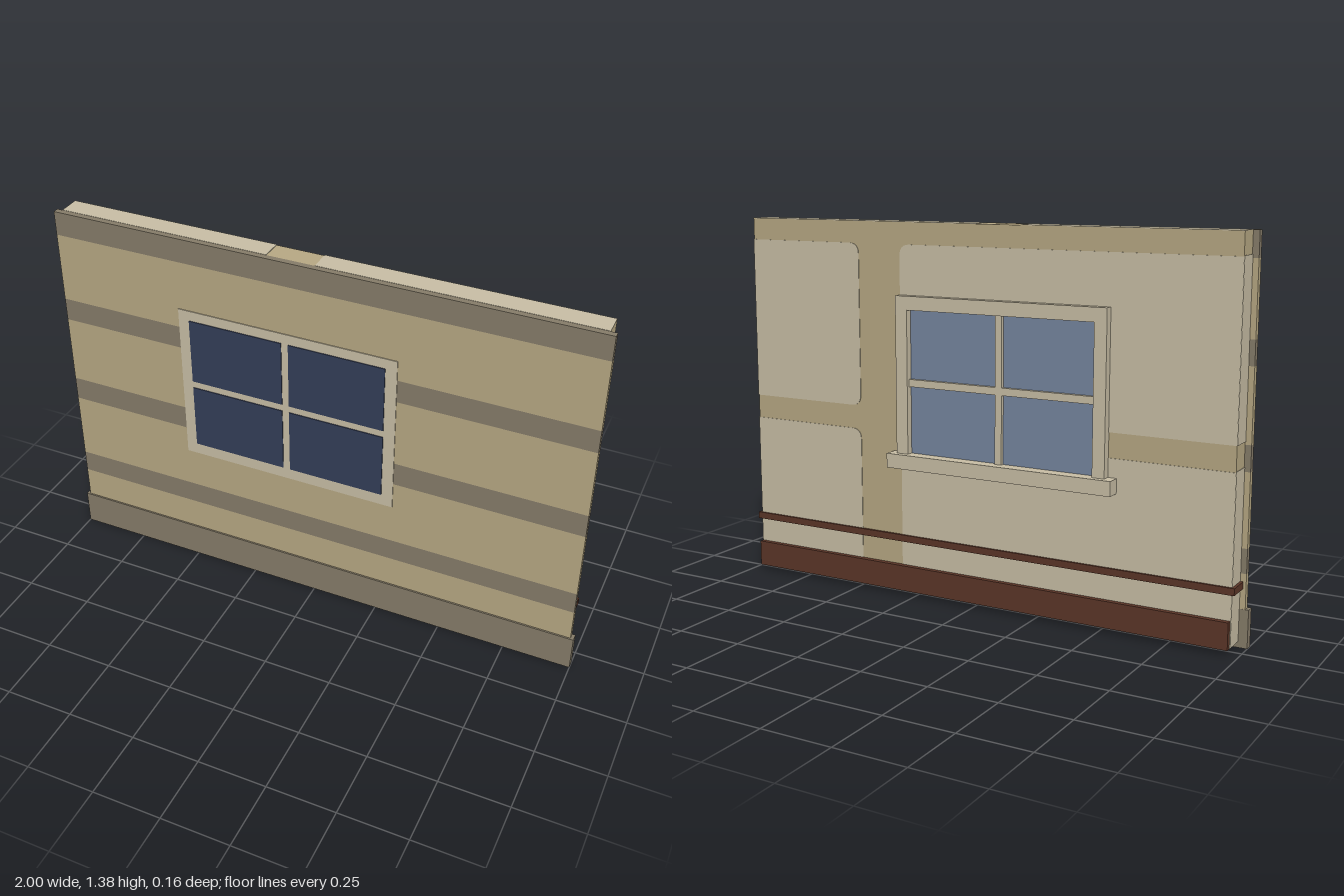
import * as THREE from 'three';

const mat = (name, color) => {
  const m = new THREE.MeshStandardMaterial({ color });
  m.name = name;
  return m;
};

export function createModel() {
  const tan = mat('tan', 0xb8a984);
  const taupe = mat('taupe', 0x877d6a);
  const cream = mat('cream', 0xc9bfa6);
  const navy = mat('navy glass', 0x343f59);
  const blue = mat('blue glass', 0x7686a0);
  const brown = mat('brown wood', 0x5c3628);

  const root = new THREE.Group();
  root.name = 'wallSection';

  // Box given by its limits on each axis
  const box = (name, material, [x0, x1], [y0, y1], [z0, z1], parent = root) => {
    const mesh = new THREE.Mesh(new THREE.BoxGeometry(x1 - x0, y1 - y0, z1 - z0), material);
    mesh.position.set((x0 + x1) / 2, (y0 + y1) / 2, (z0 + z1) / 2);
    mesh.name = name;
    parent.add(mesh);
  };

  // Outer cladding: alternating horizontal courses
  const cladding = new THREE.Group();
  cladding.name = 'cladding';
  root.add(cladding);
  const courses = [0.01, 0.257, 0.343, 0.6, 0.69, 0.947, 1.033, 1.291, 1.38];
  for (let i = 0; i < courses.length - 1; i++) {
    box('claddingCourse', i % 2 ? taupe : tan, [-0.988, 0.988], [courses[i], courses[i + 1]], [0.052, 0.074], cladding);
  }
  box('basePlinth', taupe, [-1, 1], [0, 0.135], [0.051, 0.08]);

  // Inner wall: tan core with cream panels laid on the back, ends and top
  const wall = new THREE.Group();
  wall.name = 'innerWall';
  root.add(wall);
  box('wallCore', tan, [-0.966, 0.966], [0.021, 1.379], [-0.026, 0.052], wall);

  // Back panel whose corners next to the upright band (at xIn) are rounded
  const backPanel = (xOut, xIn, y0, y1, roundTop, roundBottom) => {
    const d = Math.sign(xOut - xIn), rt = roundTop ? 0.04 : 0, rb = roundBottom ? 0.04 : 0;
    const s = new THREE.Shape();
    s.moveTo(xOut, y0);
    s.lineTo(xOut, y1);
    s.lineTo(xIn + d * rt, y1);
    if (rt) s.quadraticCurveTo(xIn, y1, xIn, y1 - rt);
    s.lineTo(xIn, y0 + rb);
    if (rb) s.quadraticCurveTo(xIn, y0, xIn + d * rb, y0);
    s.closePath();
    const mesh = new THREE.Mesh(new THREE.ExtrudeGeometry(s, { depth: 0.002, bevelEnabled: false, curveSegments: 6 }), cream);
    mesh.position.z = -0.028;
    mesh.name = 'backPanel';
    wall.add(mesh);
  };
  for (const [xOut, xIn] of [[0.967, 0.485], [-0.967, 0.307]]) {
    backPanel(xOut, xIn, 0.7, 1.3, true, true);
    backPanel(xOut, xIn, 0.021, 0.612, true, false);
  }
  for (const s of [-1, 1]) {
    const ends = [s * 0.966, s * 0.968].sort((a, b) => a - b);
    box('endPanel', cream, ends, [0.021, 0.615], [-0.027, 0.052], wall);
    box('endPanel', cream, ends, [0.7, 1.303], [-0.027, 0.052], wall);
  }
  box('topPanel', cream, [-0.966, -0.18], [1.379, 1.381], [-0.027, 0.052], wall);
  box('topPanel', cream, [-0.005, 0.966], [1.379, 1.381], [-0.027, 0.052], wall);

  // Dark wood trim wrapping the inner wall
  box('chairRail', brown, [-0.978, 0.978], [0.205, 0.23], [-0.036, 0.051]);
  box('skirtingBoard', brown, [-0.965, 0.965], [0.019, 0.115], [-0.047, 0.051]);

  // Window, outer face: flat surround and four dark panes
  const win = new THREE.Group();
  win.name = 'window';
  root.add(win);
  box('outerSurround', cream, [-0.515, 0.302], [0.498, 1.108], [0.073, 0.077], win);
  const columns = [[-0.474, -0.12], [-0.094, 0.26]];
  const rows = [[0.543, 0.792], [0.819, 1.07]];
  for (const c of columns) for (const r of rows) {
    box('outerPane', navy, c, r, [0.075, 0.08], win);
  }

  // Window, inner face: raised frame, glass, glazing bars and sill
  box('innerGlass', blue, [-0.48, 0.27], [0.54, 1.08], [-0.032, -0.027], win);
  box('frameStile', cream, [-0.52, -0.474], [0.545, 1.12], [-0.058, -0.026], win);
  box('frameStile', cream, [0.26, 0.308], [0.545, 1.12], [-0.058, -0.026], win);
  box('frameHead', cream, [-0.474, 0.26], [1.07, 1.12], [-0.058, -0.026], win);
  box('glazingBarUpright', cream, [-0.12, -0.094], [0.545, 1.07], [-0.046, -0.028], win);
  box('glazingBarCross', cream, [-0.474, 0.26], [0.792, 0.819], [-0.045, -0.028], win);
  box('windowSill', cream, [-0.552, 0.338], [0.492, 0.545], [-0.08, -0.026], win);

  return root;
}
